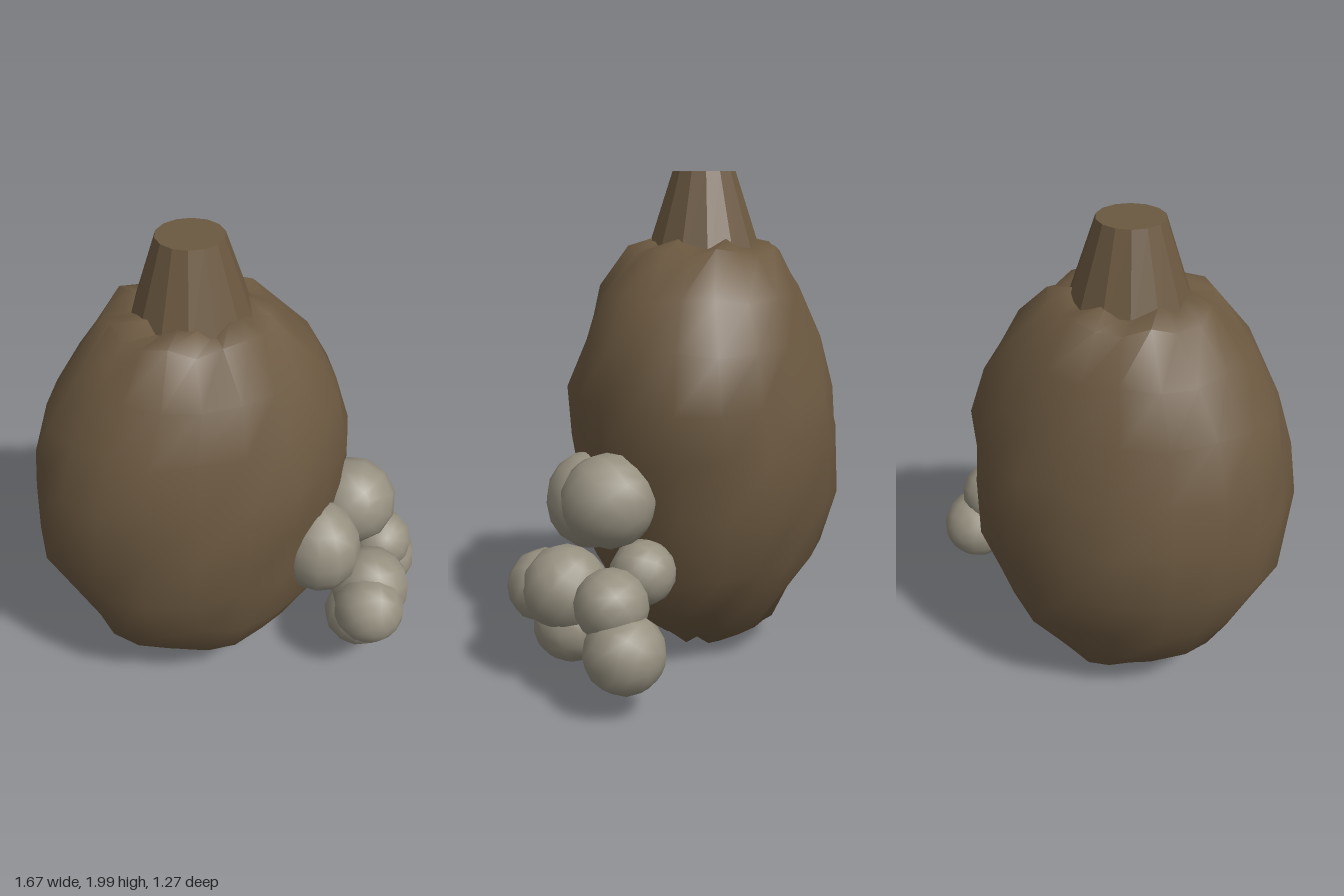
import * as THREE from 'three';
import { mergeVertices, toCreasedNormals } from 'three/addons/utils/BufferGeometryUtils.js';

// Body cross-sections: height, left-most x, right-most x, back z, front z
const RINGS = [
  [0.05, -0.18, -0.12, -0.10, -0.04],
  [0.03, -0.35, 0.00, -0.22, 0.09],
  [0.12, -0.44, 0.14, -0.37, 0.20],
  [0.26, -0.64, 0.29, -0.45, 0.32],
  [0.45, -0.73, 0.38, -0.56, 0.42],
  [0.68, -0.83, 0.43, -0.63, 0.47],
  [0.92, -0.84, 0.46, -0.635, 0.49],
  [1.12, -0.82, 0.475, -0.60, 0.49],
  [1.33, -0.76, 0.42, -0.54, 0.43],
  [1.52, -0.64, 0.31, -0.47, 0.37],
  [1.69, -0.50, 0.14, -0.37, 0.25],
  [1.72, -0.38, 0.04, -0.26, 0.15],
  [1.66, -0.20, -0.14, -0.09, -0.03],
];

// Closed, slightly crumpled sack lofted through elliptical rings
function sackGeometry(sides = 20) {
  const points = [], index = [];
  RINGS.forEach(([y, x0, x1, z0, z1], j) => {
    const end = j === 0 || j === RINGS.length - 1;
    const hem = j === 1 || j >= 10;
    for (let i = 0; i < sides; i++) {
      const a = (i / sides) * Math.PI * 2;
      const bump = end ? 1 : 1 + 0.018 * Math.sin(5 * a + j * 2.1) + 0.012 * Math.sin(8 * a - j * 1.3);
      const lift = end ? 0 : (hem ? 0.02 : 0.012) * Math.sin(7 * a + j * 1.7);
      points.push(
        (x0 + x1) / 2 + ((x1 - x0) / 2) * Math.cos(a) * bump,
        y + lift,
        (z0 + z1) / 2 + ((z1 - z0) / 2) * Math.sin(a) * bump
      );
    }
  });
  for (let j = 0; j < RINGS.length - 1; j++) {
    for (let i = 0; i < sides; i++) {
      const k = (i + 1) % sides;
      const a = j * sides + i, b = j * sides + k, c = a + sides, d = b + sides;
      index.push(a, c, b, b, c, d);
    }
  }
  // End caps
  const last = (RINGS.length - 1) * sides;
  for (let i = 1; i < sides - 1; i++) {
    index.push(0, i, i + 1, last, last + i + 1, last + i);
  }
  const g = new THREE.BufferGeometry();
  g.setAttribute('position', new THREE.Float32BufferAttribute(points, 3));
  g.setIndex(index);
  return toCreasedNormals(mergeVertices(g), 0.9);
}

// Cluster of stones: x, y, z, radius
const STONES = [
  [0.20, 0.70, 0.34, 0.185],
  [0.425, 0.765, 0.21, 0.185],
  [0.38, 0.39, 0.485, 0.15],
  [0.44, 0.41, 0.385, 0.17],
  [0.41, 0.255, 0.37, 0.155],
  [0.62, 0.42, 0.155, 0.143],
  [0.675, 0.26, 0.095, 0.157],
  [0.44, 0.49, 0.075, 0.13],
];

export function createModel() {
  const brown = new THREE.MeshStandardMaterial({ color: 0x6b5840 });
  brown.name = 'brown hide';
  const grey = new THREE.MeshStandardMaterial({ color: 0x969080 });
  grey.name = 'grey stone';

  const model = new THREE.Group();
  const add = (name, geometry, material, x = 0, y = 0, z = 0) => {
    const mesh = new THREE.Mesh(geometry, material);
    mesh.name = name;
    mesh.position.set(x, y, z);
    model.add(mesh);
    return mesh;
  };

  add('body', sackGeometry(), brown);

  // Tapered neck sunk into the top of the body
  const neck = toCreasedNormals(new THREE.CylinderGeometry(0.13, 0.262, 0.4, 14), 0.3);
  add('neck', neck, brown, -0.17, 1.8, -0.06);

  STONES.forEach(([x, y, z, r], i) => {
    const stone = add('stone' + (i + 1), new THREE.SphereGeometry(r, 12, 8), grey, x, y, z);
    stone.rotation.set(i * 0.7, i * 0.4, 0.5);
    if (i === 0) {
      stone.rotation.set(0, 0, 0);
      stone.scale.set(0.92, 1.08, 1);
    }
  });
  return model;
}
